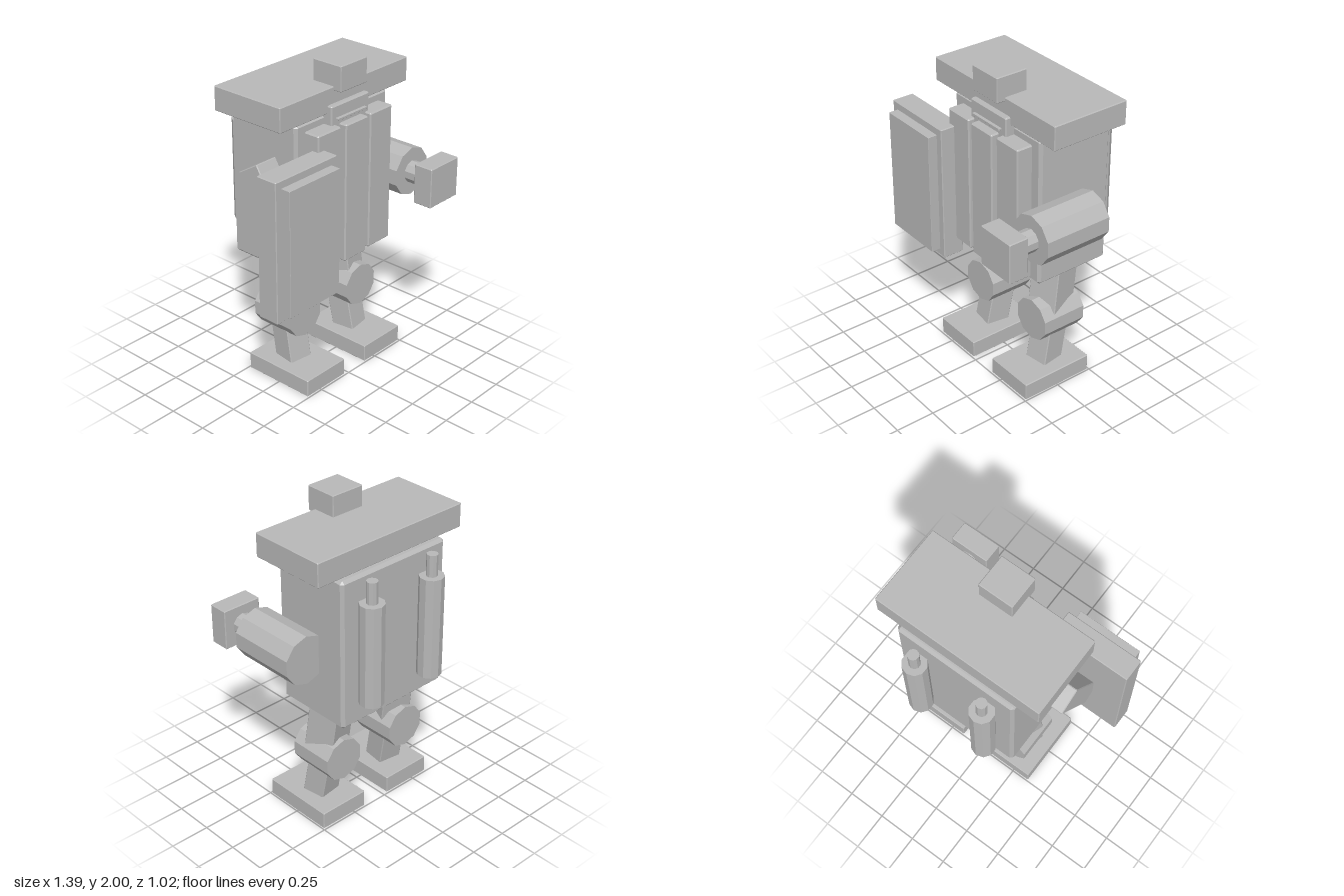
import * as THREE from 'three';
import { ConvexGeometry } from 'three/addons/geometries/ConvexGeometry.js';

const gray = new THREE.MeshStandardMaterial({ color: 0xb8b8b8 });
gray.name = 'plain gray';

// Box with every edge cut by a flat chamfer
function chamferBox(w, h, d, b) {
  const points = [];
  for (const sx of [-1, 1]) for (const sy of [-1, 1]) for (const sz of [-1, 1]) {
    const x = w / 2, y = h / 2, z = d / 2;
    points.push(
      new THREE.Vector3(sx * x, sy * (y - b), sz * (z - b)),
      new THREE.Vector3(sx * (x - b), sy * y, sz * (z - b)),
      new THREE.Vector3(sx * (x - b), sy * (y - b), sz * z));
  }
  return new ConvexGeometry(points);
}

// Ten-sided prism with flat sides
function prism(radius, length) {
  return new THREE.CylinderGeometry(radius, radius, length, 10).toNonIndexed();
}

function add(parent, name, geometry, x, y, z) {
  geometry.computeVertexNormals();
  const mesh = new THREE.Mesh(geometry, gray);
  mesh.name = name;
  mesh.position.set(x, y, z);
  parent.add(mesh);
  return mesh;
}

// Box given by its limits on each axis
function block(parent, name, [x0, x1], [y0, y1], [z0, z1], bevel = 0.005) {
  return add(parent, name, chamferBox(x1 - x0, y1 - y0, z1 - z0, bevel),
    (x0 + x1) / 2, (y0 + y1) / 2, (z0 + z1) / 2);
}

// Prism lying along z
function prismZ(parent, name, radius, x, y, z0, z1) {
  const geometry = prism(radius, z1 - z0).rotateX(Math.PI / 2);
  return add(parent, name, geometry, x, y, (z0 + z1) / 2);
}

function limb(parent, name, size, position, pitch, yaw = 0) {
  const mesh = add(parent, name, chamferBox(...size, 0.005), ...position);
  mesh.rotation.set(pitch, yaw, 0, 'YXZ');
  return mesh;
}

export function createModel() {
  const model = new THREE.Group();
  model.name = 'robot';
  const middle = 0.065;

  // Torso with three front panels
  block(model, 'torso', [-0.33, 0.46], [0.765, 1.71], [-0.376, 0.128], 0.018);
  block(model, 'rightChestPanel', [-0.255, -0.062], [0.79, 1.655], [0.08, 0.228], 0.008);
  block(model, 'middleChestPanel', [-0.03, 0.162], [0.785, 1.655], [0.08, 0.236], 0.008);
  block(model, 'leftChestPanel', [0.192, 0.385], [0.79, 1.655], [0.08, 0.228], 0.008);

  // Head and wide shoulder slab
  block(model, 'face', [-0.097, 0.227], [1.6, 1.77], [-0.12, 0.185], 0.008);
  block(model, 'visor', [-0.06, 0.187], [1.68, 1.695], [0.17, 0.203], 0.002);
  block(model, 'shoulderSlab', [-0.48, 0.607], [1.72, 1.87], [-0.352, 0.154]);
  block(model, 'topBlock', [-0.046, 0.178], [1.845, 2.0], [0.0, 0.208]);

  // Right arm carrying the shield
  limb(model, 'rightArm', [0.155, 0.5, 0.165], [-0.425, 1.24, 0.05], -0.55);
  block(model, 'shield', [-0.695, -0.203], [0.685, 1.557], [0.18, 0.32]);
  block(model, 'shieldFace', [-0.65, -0.248], [0.73, 1.51], [0.31, 0.38], 0.002);

  // Left arm with wrist and fist
  prismZ(model, 'leftForearm', 0.153, 0.549, 1.182, -0.18, 0.26);
  prismZ(model, 'leftWrist', 0.069, 0.549, 1.182, 0.24, 0.4);
  block(model, 'leftFist', [0.421, 0.677], [1.055, 1.307], [0.38, 0.507]);

  // Two tanks on the back
  for (const x of [-0.166, 0.296]) {
    add(model, 'backTank', prism(0.075, 0.64), x, 1.235, -0.436);
    add(model, 'tankNozzle', prism(0.034, 0.16), x, 1.61, -0.436);
  }

  // Legs, mirrored about the torso centre
  for (const side of [-1, 1]) {
    const leg = new THREE.Group();
    leg.name = side > 0 ? 'leftLeg' : 'rightLeg';
    leg.position.x = middle;
    limb(leg, 'thigh', [0.195, 0.37, 0.19], [side * 0.25, 0.568, -0.093], -0.14, side * 0.26);
    prismZ(leg, 'knee', 0.137, side * 0.254, 0.42, -0.23, 0.065);
    limb(leg, 'shin', [0.155, 0.36, 0.15], [side * 0.258, 0.24, -0.055], -0.19, side * 0.14);
    block(leg, 'foot', [side * 0.262 - 0.167, side * 0.262 + 0.167], [0, 0.112], [-0.241, 0.241]);
    model.add(leg);
  }
  return model;
}
